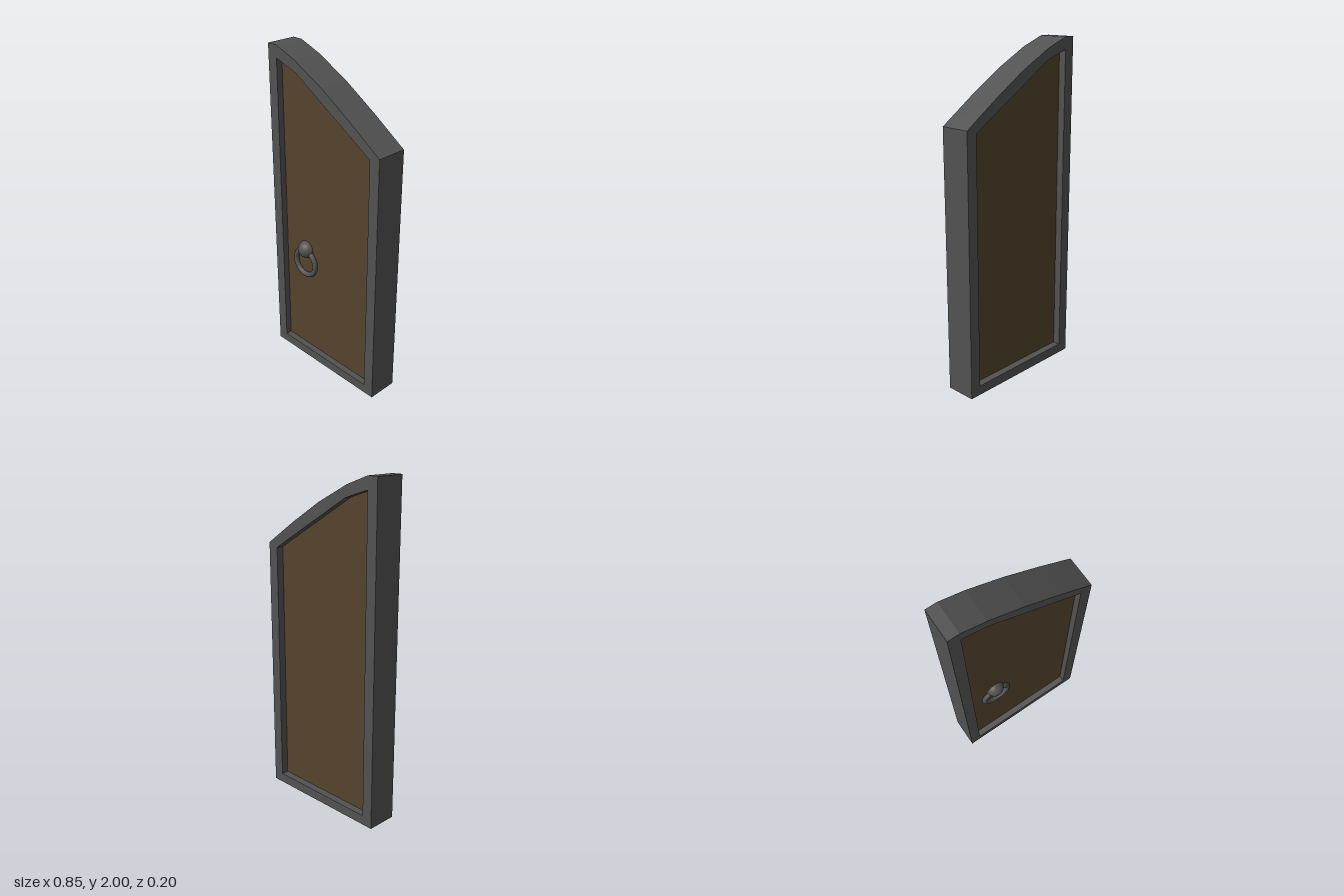
import * as THREE from 'three';

const iron = new THREE.MeshStandardMaterial({ color: 0x525252 });
iron.name = 'dark iron';
const wood = new THREE.MeshStandardMaterial({ color: 0x54432d });
wood.name = 'brown wood';

// Outlines run counter-clockwise from the lower left corner
const OUTER = [[-0.424, 0], [0.424, 0], [0.424, 1.565], [0.21, 1.708], [0, 1.838],
  [-0.21, 1.946], [-0.357, 2], [-0.424, 2]];
const INNER = [[-0.357, 0.058], [0.357, 0.058], [0.357, 1.541], [0.2, 1.637], [0, 1.756],
  [-0.2, 1.877], [-0.357, 1.928]];
const toPoints = (list) => list.map(([x, y]) => new THREE.Vector2(x, y));

// Slab extruded between two z positions
function slab(name, shape, back, front, material) {
  const geometry = new THREE.ExtrudeGeometry(shape, { depth: front - back, bevelEnabled: false });
  geometry.translate(0, 0, back);
  const mesh = new THREE.Mesh(geometry, material);
  mesh.name = name;
  return mesh;
}

export function createModel() {
  const door = new THREE.Group();
  door.name = 'door';

  // Heavy rim with a recess on both sides
  const frameShape = new THREE.Shape(toPoints(OUTER));
  frameShape.holes.push(new THREE.Path(toPoints(INNER).reverse()));
  door.add(slab('frame', frameShape, -0.1, 0.087, iron));

  // Wooden panel set inside the rim
  door.add(slab('panel', new THREE.Shape(toPoints(INNER)), -0.055, 0.048, wood));

  // Ring handle hanging from a round boss
  const handle = new THREE.Group();
  handle.name = 'handle';
  handle.position.set(-0.183, 0.773, 0);
  const boss = new THREE.Mesh(new THREE.SphereGeometry(0.056, 32, 20), iron);
  boss.name = 'handleBoss';
  boss.position.z = 0.044;
  const ring = new THREE.Mesh(new THREE.TorusGeometry(0.084, 0.016, 12, 48), iron);
  ring.name = 'handleRing';
  ring.position.set(0, -0.09, 0.058);
  handle.add(boss, ring);
  door.add(handle);

  return door;
}
